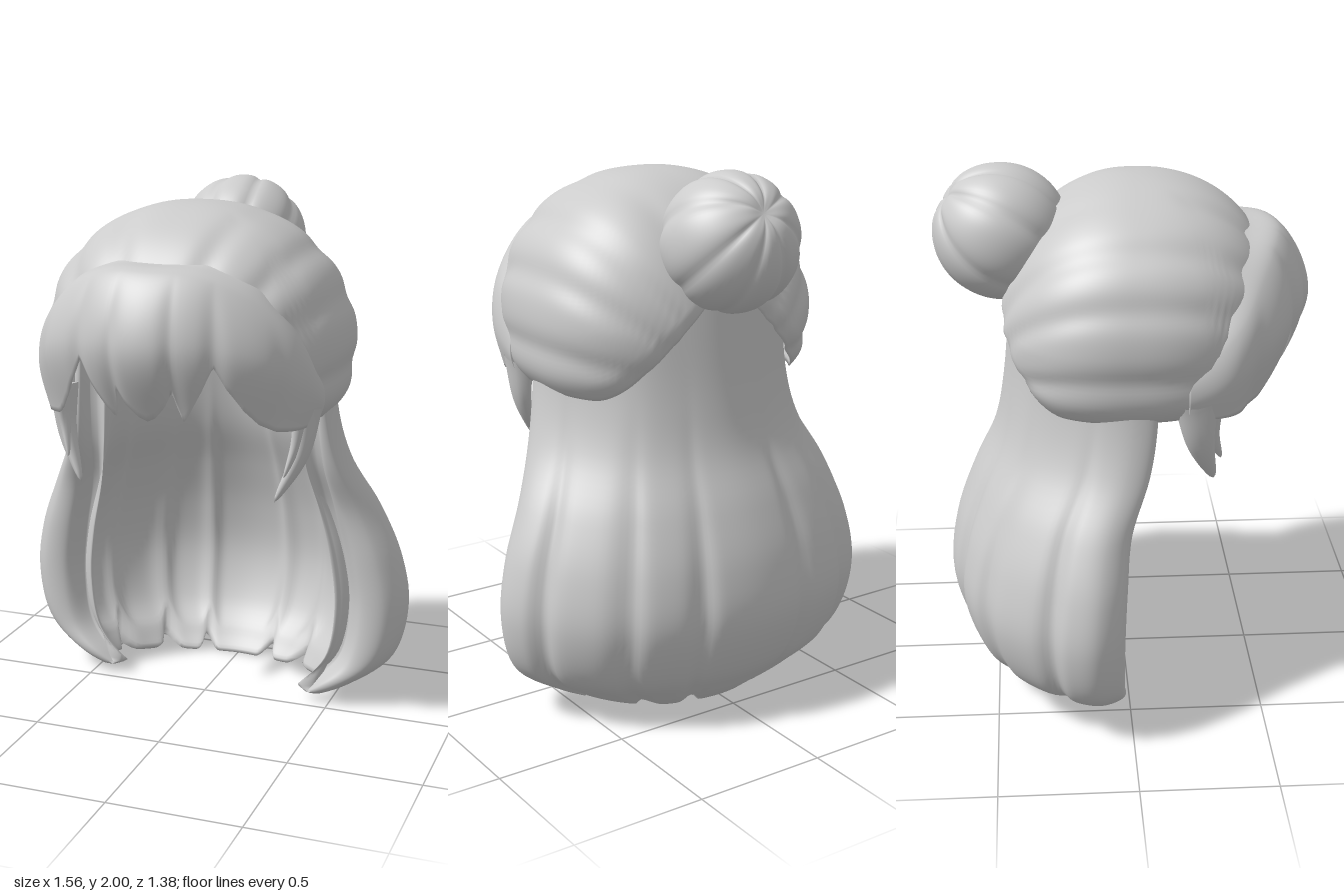
import * as THREE from 'three';
import { mergeVertices } from 'three/addons/utils/BufferGeometryUtils.js';

const V = (x, y, z) => new THREE.Vector3(x, y, z);
const { smoothstep, clamp, lerp } = THREE.MathUtils;
const material = new THREE.MeshStandardMaterial({ color: 0xcccccc, side: THREE.DoubleSide });
const curve = (pts) => new THREE.CatmullRomCurve3(pts);
const bell = (d, width) => Math.exp(-((d / width) ** 2));
const bells = (x, centres, width) => centres.reduce((sum, c) => sum + bell(x - c, width), 0);

// Thick sheet: an outer layer f(u, v) and an inner layer drawn towards a pivot, meeting at the rim
function shell(name, f, pivot, depth, nu, nv, loop) {
  const pos = [], index = [], row = nv + 1, layer = (nu + 1) * row;
  for (let side = 0; side < 2; side++) {
    for (let i = 0; i <= nu; i++) for (let j = 0; j <= nv; j++) {
      const u = i / nu, v = j / nv, p = f(u, v);
      const rim = loop ? 1 - v : Math.min(1 - v, u, 1 - u);
      if (side) p.lerp(pivot(p), depth * Math.sqrt(clamp(rim * 7, 0, 1)));
      pos.push(p.x, p.y, p.z);
    }
    for (let i = 0; i < nu; i++) for (let j = 0; j < nv; j++) {
      const a = side * layer + i * row + j, b = a + row;
      if (side) index.push(a, b, a + 1, b, b + 1, a + 1);
      else index.push(a, a + 1, b, b, a + 1, b + 1);
    }
  }
  const g = new THREE.BufferGeometry();
  g.setAttribute('position', new THREE.Float32BufferAttribute(pos, 3));
  g.setIndex(index);
  return finish(name, g);
}

function finish(name, g) {
  g.deleteAttribute('uv');
  g.deleteAttribute('normal');
  const merged = mergeVertices(g, 1e-5);
  merged.computeVertexNormals();
  const mesh = new THREE.Mesh(merged, material);
  mesh.name = name;
  return mesh;
}

// Crown: rounded dome leaning forward with soft swept grooves, its rim rolled in and rising to the bun
function crownPoint(u, v) {
  const phi = u * Math.PI * 2, s = Math.sin(phi), c = Math.cos(phi);
  const away = Math.min(phi, Math.PI * 2 - phi);
  const edge = 1.19 + 0.3 * (1 - smoothstep(away, 0.85, 1.15)) + 0.4 * smoothstep(away, 2.05, 3.2);
  const th = v * Math.acos((edge - 1.45) / (edge > 1.45 ? 0.51 : 0.6));
  const n = 2.4, depth = c > 0 ? 0.55 : 0.47;
  const plan = (Math.abs(s / 0.57) ** n + Math.abs(c / depth) ** n) ** (-1 / n);
  const ring = plan * Math.abs(Math.sin(th)) ** 0.92;
  const lean = 0.05 * Math.max(0, Math.cos(th));
  const p = V(ring * s, 1.45 + (th < Math.PI / 2 ? 0.51 : 0.6) * Math.cos(th), ring * c + lean);
  const fan = Math.atan2(p.y - 1.2, Math.abs(p.x));
  const groove = bells(fan, [0.29, 0.67, 0.96, 1.3], 0.075) * smoothstep(v, 0.1, 0.5);
  const roll = smoothstep(v, 0.92, 1.08);
  return p.lerp(V(0, 1.4, 0), 0.022 * groove + 0.08 * roll);
}

// Fringe: four cross curves from hair seam to tips, trimmed to a pointed lower edge
const fringeRows = [
  [[0, 1.785, 0.44], [0.18, 1.78, 0.42], [0.33, 1.72, 0.375], [0.45, 1.57, 0.3], [0.49, 1.4, 0.2]],
  [[0, 1.765, 0.575], [0.18, 1.75, 0.545], [0.35, 1.67, 0.475], [0.485, 1.52, 0.375], [0.52, 1.36, 0.2]],
  [[0, 1.52, 0.69], [0.2, 1.52, 0.635], [0.39, 1.48, 0.53], [0.51, 1.38, 0.375], [0.53, 1.28, 0.2]],
  [[0, 1.2, 0.55], [0.18, 1.2, 0.53], [0.34, 1.2, 0.47], [0.47, 1.19, 0.36], [0.5, 1.19, 0.2]],
].map((r) => curve([...r.slice(1).reverse().map(([x, y, z]) => V(-x, y, z)), ...r.map((p) => V(...p))]));
const fringeEdge = [[0, 1.25], [0.03, 1.265], [0.07, 1.31], [0.1, 1.37], [0.105, 1.33], [0.125, 1.25],
  [0.15, 1.29], [0.19, 1.37], [0.225, 1.46], [0.26, 1.38], [0.31, 1.3], [0.36, 1.245], [0.42, 1.21], [0.6, 1.2]];
function edgeHeight(x) {
  const i = Math.max(1, fringeEdge.findIndex((e) => e[0] >= x));
  const [a, b] = [fringeEdge[i - 1], fringeEdge[i]];
  return lerp(a[1], b[1], (x - a[0]) / (b[0] - a[0]));
}
function fringePoint(u, v) {
  const pts = fringeRows.map((r) => r.getPoint(u));
  const x = Math.abs(pts[3].x), yc = pts[2].y;
  const end = (2 + (yc - edgeHeight(x)) / (yc - pts[3].y)) / 3;
  const p = curve(pts).getPoint(v * Math.min(1, end));
  const groove = bells(x, [0.105, 0.225, 0.41], 0.03) * smoothstep(v, 0.3, 1);
  return p.lerp(V(0, p.y, 0), 0.022 * groove);
}

// Back hair levels: height, half width, front z, back z, front rim x
const levels = [[1.55, 0.5, 0.1, -0.42, 0.45], [1.2, 0.52, 0.1, -0.45, 0.46], [1, 0.57, 0.07, -0.49, 0.47],
  [0.8, 0.67, 0, -0.58, 0.5], [0.6, 0.75, -0.02, -0.65, 0.54], [0.4, 0.78, -0.03, -0.67, 0.56],
  [0.2, 0.73, -0.03, -0.6, 0.53], [0.08, 0.58, -0.02, -0.5, 0.43], [0, 0.42, -0.06, -0.41, 0.33]];
const frontTrack = curve(levels.map(([y, w, f]) => V(w, y, f)));
const backTrack = curve(levels.map(([y, , , b, rim]) => V(rim, y, b)));
// Half plan: sideways and backward fractions from the front strand to the centre back
const plan = [[0, 0.12], [0.3, 0.01], [0.7, 0.02], [1, 0.18], [0.93, 0.42], [0.64, 0.8], [0.3, 0.95], [0, 1]];
const seams = [4, 5, 6, 8, 9, 10];

function backPoint(u, v) {
  const k = u * 14, front = 1 - smoothstep(Math.min(k, 14 - k), 2.5, 6);
  const notch = bells(k, seams, 0.16);
  const t = v * (1 - 0.09 * notch - 0.06 * front);
  const a = frontTrack.getPoint(t), b = backTrack.getPoint(t);
  const half = plan.map(([x, d], i) =>
    V(i < 3 ? lerp(b.x, a.x, x) : a.x * x, a.y, lerp(a.z, b.z, d)));
  const mirrored = half.slice(0, -1).reverse().map((p) => V(-p.x, p.y, p.z));
  const p = curve([...half, ...mirrored]).getPoint(u);
  const groove = bells(k, seams, 0.17) * smoothstep(v, 0.05, 0.6);
  return p.lerp(V(0, p.y, -0.2), 0.045 * groove);
}

// Tapered lock along a path
function lock(name, points, radius, flat) {
  const path = curve(points.map((p) => V(...p))), n = 20, m = 12;
  const g = new THREE.TubeGeometry(path, n, radius, m, false);
  const pos = g.attributes.position, p = V(0, 0, 0);
  for (let i = 0; i <= n; i++) {
    const c = path.getPointAt(i / n), s = Math.sqrt(1 - i / n) * (1 - 0.3 * i / n);
    for (let j = 0; j <= m; j++) {
      const at = i * (m + 1) + j;
      p.fromBufferAttribute(pos, at).sub(c).multiplyScalar(s);
      pos.setXYZ(at, c.x + p.x * flat, c.y + p.y, c.z + p.z);
    }
  }
  return finish(name, g);
}

// Bun: ball gathered into uneven petals around a dimpled pole
function bun() {
  const g = new THREE.SphereGeometry(0.25, 96, 48), pos = g.attributes.position, p = V(0, 0, 0);
  for (let i = 0; i < pos.count; i++) {
    p.fromBufferAttribute(pos, i);
    const pole = Math.acos(clamp(p.y / 0.25, -1, 1)), turn = Math.atan2(p.x, p.z);
    const petal = Math.abs(Math.cos(4 * turn + 0.5 * Math.sin(2 * turn)));
    const crease = 0.055 * (1 - petal) ** 2 * smoothstep(Math.sin(pole), 0.05, 0.5);
    p.multiplyScalar(1 - crease - 0.09 * bell(pole, 0.22));
    pos.setXYZ(i, p.x, p.y, p.z);
  }
  const mesh = finish('bun', g);
  mesh.position.set(0, 1.755, -0.443);
  mesh.quaternion.setFromUnitVectors(V(0, 1, 0), V(0, 0.56, -0.83).normalize());
  return mesh;
}

export function createModel() {
  const group = new THREE.Group();
  group.name = 'hair';
  group.add(
    shell('crown', crownPoint, () => V(0, 1.4, 0), 0.08, 128, 64, true),
    shell('fringe', fringePoint, () => V(0, 1.5, 0), 0.08, 200, 36, false),
    shell('backHair', backPoint, (p) => V(p.x * -0.6, p.y, -0.25), 0.16, 196, 48, false),
    bun(),
  );
  // Locks in front of each ear
  for (const [side, s] of [['left', 1], ['right', -1]]) {
    group.add(
      lock(side + 'LongSideLock', [[s * 0.48, 1.27, 0.23], [s * 0.46, 1.1, 0.25], [s * 0.38, 0.92, 0.31]], 0.08, 0.6),
      lock(side + 'ShortSideLock', [[s * 0.47, 1.26, 0.28], [s * 0.45, 1.13, 0.29], [s * 0.42, 1.02, 0.33]], 0.05, 0.6),
    );
  }
  return group;
}
